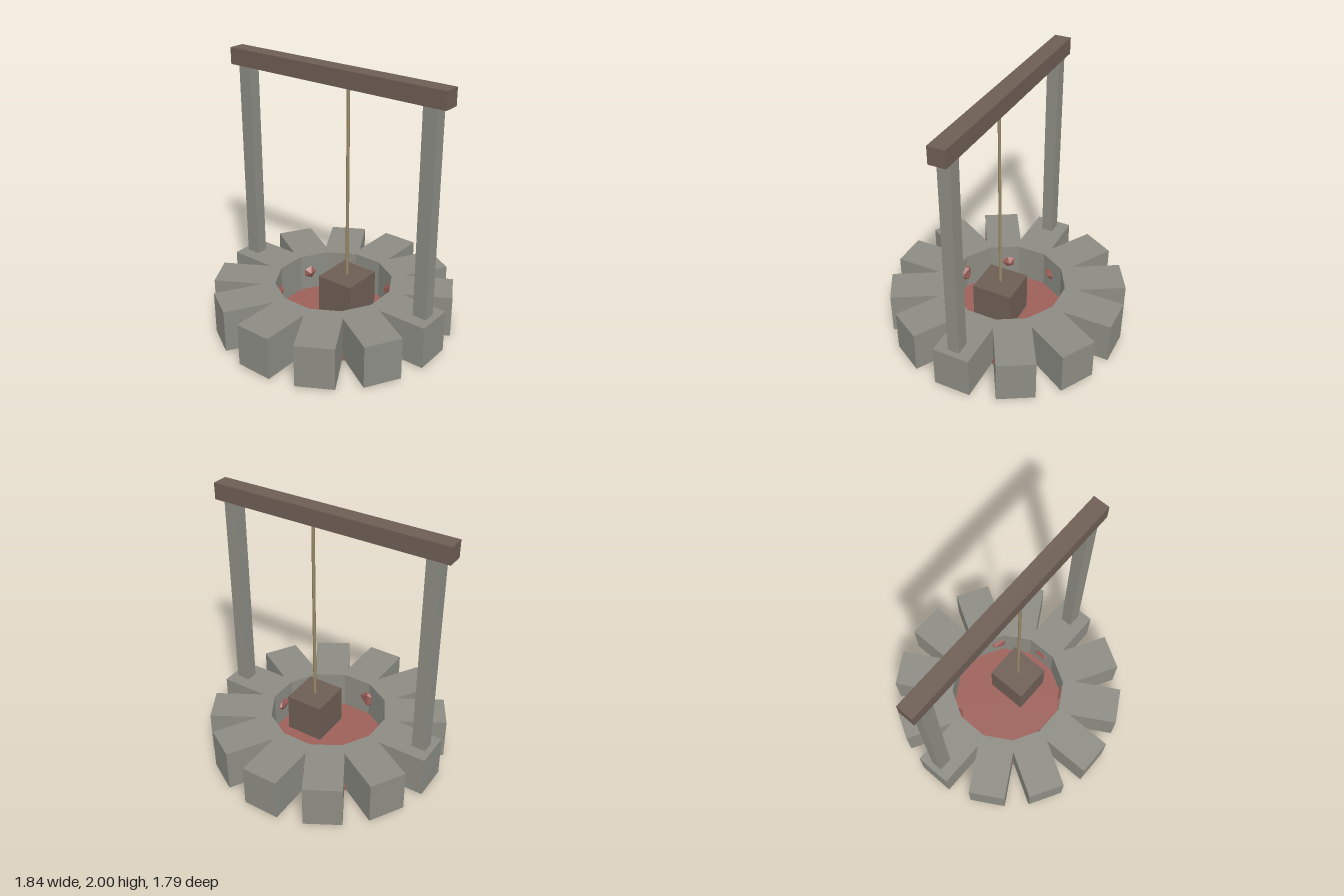
import * as THREE from 'three';

const material = (name, color) => {
  const m = new THREE.MeshStandardMaterial({ color });
  m.name = name;
  return m;
};

export function createModel() {
  const stone = material('stone grey', 0x8c8c84);
  const wood = material('dark wood', 0x6e5e55);
  const red = material('ember red', 0x9c6059);
  const tan = material('rope tan', 0x9a8a68);

  const model = new THREE.Group();
  model.name = 'hangingBoxWell';

  const add = (name, geometry, mat, x, y, z, parent = model) => {
    const mesh = new THREE.Mesh(geometry, mat);
    mesh.name = name;
    mesh.position.set(x, y, z);
    parent.add(mesh);
    return mesh;
  };

  // Ring of twelve radial stone blocks
  const ring = new THREE.Group();
  ring.name = 'stoneRing';
  model.add(ring);
  const blockGeometry = new THREE.BoxGeometry(0.465, 0.325, 0.28);
  for (let i = 0; i < 12; i++) {
    const a = (i / 12) * Math.PI * 2;
    const block = add('ringBlock', blockGeometry, stone,
      0.6625 * Math.cos(a), 0.1775, 0.6625 * Math.sin(a), ring);
    block.rotation.y = -a;
  }

  // Floor disc under the ring
  add('floorDisc', new THREE.CylinderGeometry(0.56, 0.56, 0.04, 24).toNonIndexed(), red, 0, 0.02, 0)
    .geometry.computeVertexNormals();

  // Seven faceted embers set in the ring, just breaking through its inner wall
  const embers = new THREE.Group();
  embers.name = 'embers';
  model.add(embers);
  const emberGeometry = new THREE.IcosahedronGeometry(0.097, 0);
  for (let i = 0; i < 7; i++) {
    const a = (i / 7) * Math.PI * 2;
    add('ember', emberGeometry, red, 0.495 * Math.cos(a), 0.19, 0.495 * Math.sin(a), embers);
  }

  // Two posts carrying the crossbeam
  const postGeometry = new THREE.BoxGeometry(0.108, 1.56, 0.09);
  add('leftPost', postGeometry, stone, 0.795, 1.1, 0);
  add('rightPost', postGeometry, stone, -0.798, 1.1, 0);
  add('crossbeam', new THREE.BoxGeometry(1.835, 0.125, 0.125), wood, 0, 1.9375, 0);

  // Rope and the box hanging from it
  add('rope', new THREE.CylinderGeometry(0.012, 0.012, 1.47, 6), tan, 0.125, 1.15, 0);
  add('hangingBox', new THREE.BoxGeometry(0.29, 0.3, 0.31), wood, 0.125, 0.285, 0);

  return model;
}
